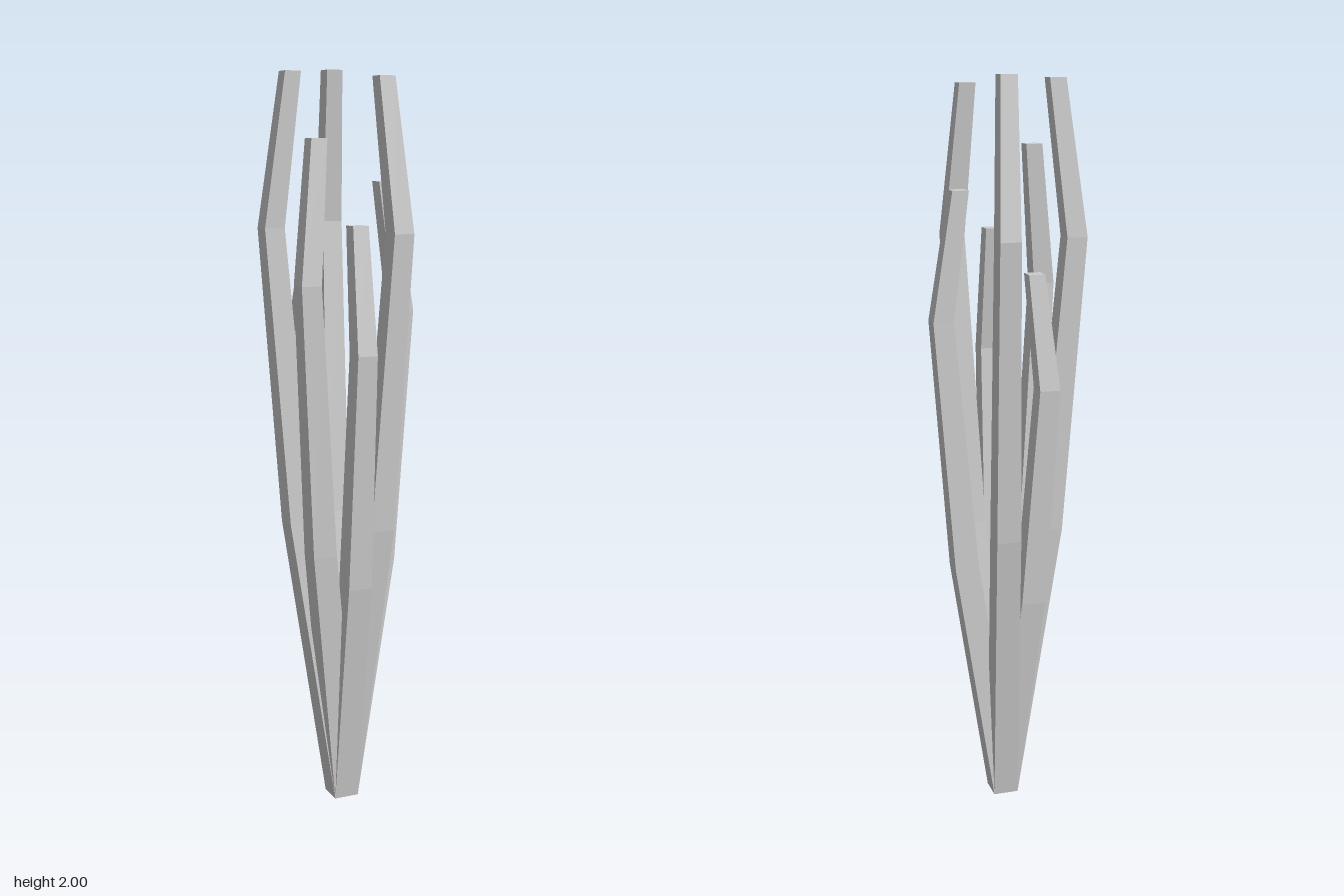
import * as THREE from 'three';

// Shared foot of every stalk, and the corner radius of each ring from foot to tip
const FOOT = [-0.007, 0];
const RADII = [0.049, 0.047, 0.039, 0.031];

// One square stalk, widest at the bulge [x, y, z] and leaning back in to the tip [x, y, z]
function stalkGeometry(bulge, tip) {
  const mix = (a, b) => a + (b - a) * 0.65;
  const centres = [
    [FOOT[0], 0, FOOT[1]],
    [mix(FOOT[0], bulge[0]), bulge[1] / 2, mix(FOOT[1], bulge[2])],
    bulge,
    tip,
  ];
  const geometry = new THREE.CylinderGeometry(1, 1, 3, 4, 3);
  const p = geometry.attributes.position;
  for (let i = 0; i < p.count; i++) {
    const ring = Math.round(p.getY(i) + 1.5);
    const [x, y, z] = centres[ring];
    p.setXYZ(i, x + p.getX(i) * RADII[ring], y, z + p.getZ(i) * RADII[ring]);
  }
  const flat = geometry.toNonIndexed();
  flat.computeVertexNormals();
  return flat;
}

export function createModel() {
  const model = new THREE.Group();
  model.name = 'stalkCluster';
  const material = new THREE.MeshStandardMaterial({ color: 0xcccccc, flatShading: true });

  // Seven stalks fanning out from the foot: name, bulge, tip
  const stalks = [
    ['backRightStalk', [-0.11, 1.6, -0.165], [-0.082, 2.0, -0.12]],
    ['backLeftStalk', [0.12, 1.37, -0.105], [0.082, 1.71, -0.075]],
    ['leftStalk', [0.17, 1.58, 0.041], [0.12, 1.975, 0.03]],
    ['frontLeftStalk', [0.095, 1.27, 0.104], [0.065, 1.6, 0.072]],
    ['frontStalk', [-0.036, 1.45, 0.163], [-0.03, 1.82, 0.118]],
    ['frontRightStalk', [-0.173, 1.59, 0.082], [-0.125, 1.99, 0.062]],
    ['rightStalk', [-0.148, 1.2, -0.017], [-0.108, 1.5, -0.014]],
  ];
  for (const [name, bulge, tip] of stalks) {
    const mesh = new THREE.Mesh(stalkGeometry(bulge, tip), material);
    mesh.name = name;
    model.add(mesh);
  }
  return model;
}
